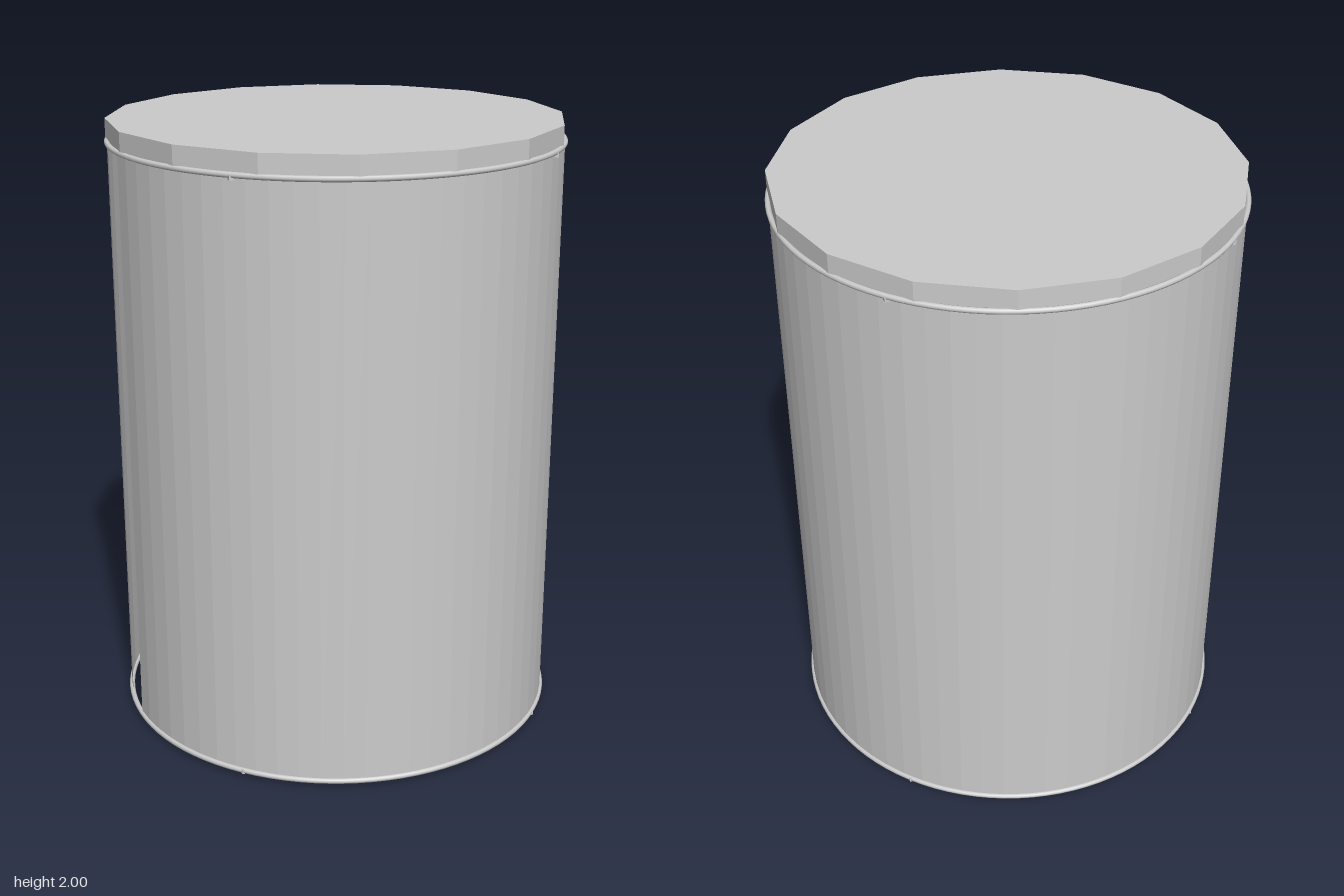
import * as THREE from 'three';

const RAD = Math.PI / 180;
const R = 0.725;      // shell radius
const TOP = 1.93;     // shell height
const HALF = 0.51;    // half side of the inner square frame

export function createModel() {
  const group = new THREE.Group();
  const flat = new THREE.MeshStandardMaterial({ color: 0xcccccc, flatShading: true, side: THREE.DoubleSide });
  const smooth = new THREE.MeshStandardMaterial({ color: 0xcccccc });

  const add = (parent, name, geometry, material = flat) => {
    const mesh = new THREE.Mesh(geometry, material);
    mesh.name = name;
    parent.add(mesh);
    return mesh;
  };

  // Thin outer wall with a narrow vertical slit on the -x side
  add(group, 'outerShell',
    new THREE.CylinderGeometry(R, R, TOP - 0.015, 62, 1, true, -90 * RAD, 348.75 * RAD)
      .translate(0, (TOP + 0.015) / 2, 0));

  // Rims around the bottom and the top
  for (const [name, y] of [['bottomRim', 0.019], ['topRim', TOP + 0.002]]) {
    add(group, name, new THREE.TorusGeometry(R, 0.009, 8, 96).rotateX(Math.PI / 2).translate(0, y, 0), smooth);
  }

  // Sixteen-sided lid
  add(group, 'lid',
    new THREE.CylinderGeometry(0.73, 0.73, 2 - TOP, 16).rotateY(3.3 * RAD).translate(0, (2 + TOP) / 2, 0));

  // Square inner frame, turned slightly against the axes
  const frame = new THREE.Group();
  frame.name = 'innerFrame';
  frame.rotation.y = -3.4 * RAD;
  group.add(frame);

  for (let i = 0; i < 4; i++) {
    const turn = i * Math.PI / 2;
    for (const [name, y] of [['bottomBar', 0.018], ['topBar', TOP - 0.005]]) {
      add(frame, name, new THREE.BoxGeometry(2 * HALF + 0.02, 0.016, 0.02)
        .translate(0, y, HALF).rotateY(turn));
    }
    // Three walls; the side facing the slit stays open
    if (i !== 3) {
      add(frame, 'innerWall', new THREE.BoxGeometry(2 * HALF, TOP - 0.02, 0.008)
        .translate(0, TOP / 2 + 0.005, HALF).rotateY(turn));
    }
    // Short feet across the corners
    add(group, 'foot', new THREE.BoxGeometry(0.18, 0.012, 0.02)
      .translate(0, 0.006, 0.68).rotateY(turn + Math.PI / 4));
  }

  return group;
}
